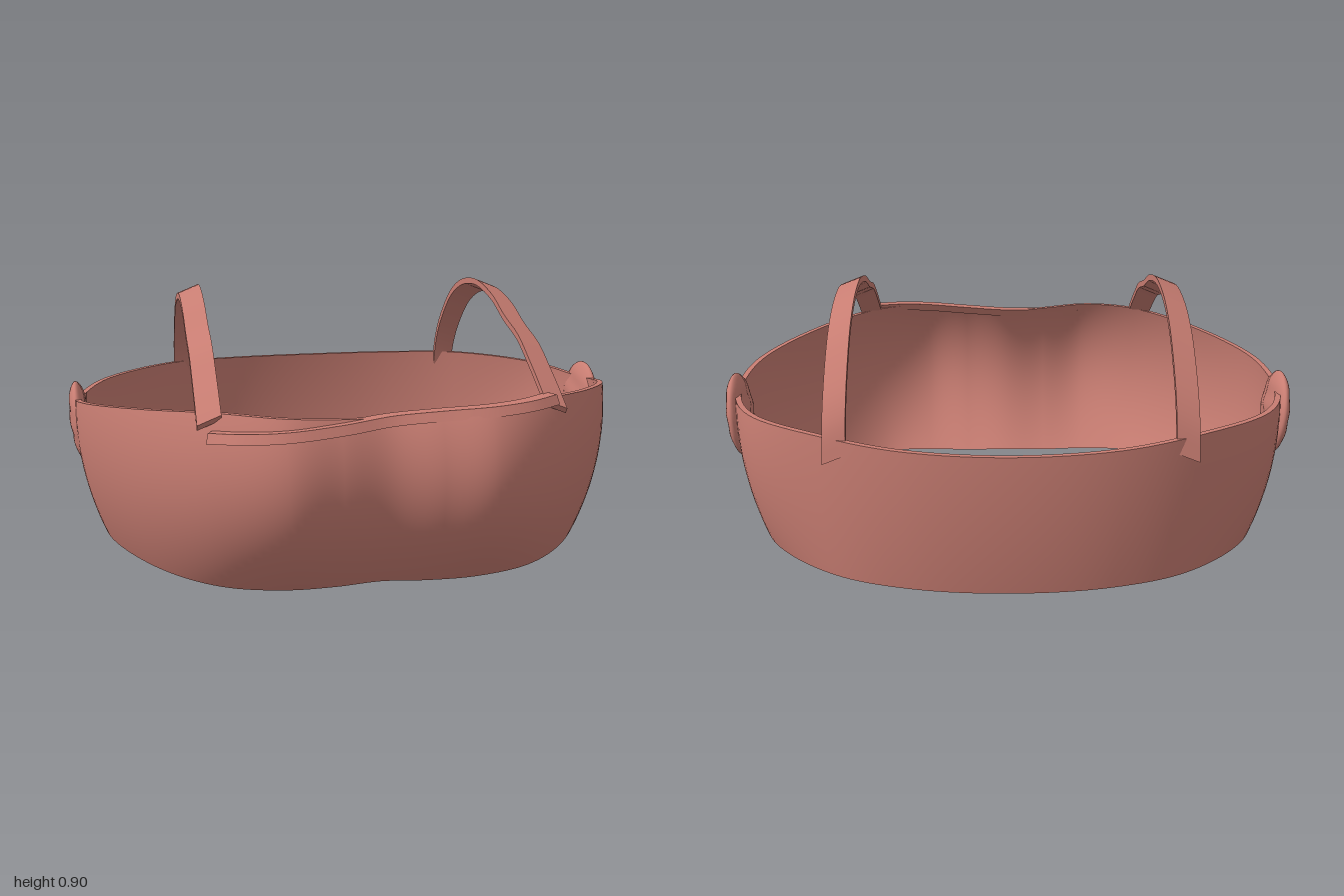
import * as THREE from 'three';
import { toCreasedNormals } from 'three/addons/utils/BufferGeometryUtils.js';
import { ParametricGeometry } from 'three/addons/geometries/ParametricGeometry.js';

const V = (x, y, z) => new THREE.Vector3(x, y, z);
const material = new THREE.MeshStandardMaterial({ color: 0xc87d72 });

function add(parent, name, geometry) {
  const mesh = new THREE.Mesh(geometry, material);
  mesh.name = name;
  parent.add(mesh);
  return mesh;
}

// Closed symmetric outline from its half, listed from centre back to centre front
function outline(half) {
  const right = half.slice(1, -1).reverse().map(([x, y, z]) => [-x, y, z]);
  return new THREE.CatmullRomCurve3([...half, ...right].map((p) => V(...p)), true);
}

// Half outlines [x, y, z] of the lower edge, the fullest level and the upper edge
const lower = [[0, .05, -.80], [.32, .05, -.765], [.58, .05, -.66], [.81, .05, -.42], [.89, .05, -.13],
  [.865, .045, .12], [.70, .025, .41], [.52, .012, .56], [.33, .003, .606], [.16, 0, .603], [0, .005, .595]];
const fullXZ = [[0, -.81], [.34, -.77], [.61, -.655], [.87, -.43], [.962, -.13],
  [.94, .14], [.77, .46], [.54, .70], [.33, .805], [.16, .785], [0, .758]];
const upper = [[0, .51, -.80], [.34, .515, -.76], [.61, .525, -.645], [.87, .517, -.42], [.97, .51, -.13],
  [.94, .545, .14], [.755, .585, .44], [.54, .61, .64], [.34, .605, .735], [.16, .592, .725], [0, .585, .70]];
const FULL = 0.6;
const full = fullXZ.map(([x, z], i) => [x, lower[i][1] + FULL * (upper[i][1] - lower[i][1]), z]);
const levels = [lower, full, upper].map(outline);

// Point on the outer wall: a parabola through the three levels
function outer(u, v) {
  const weights = [
    (v - FULL) * (v - 1) / FULL,
    v * (v - 1) / (FULL * (FULL - 1)),
    v * (v - FULL) / (1 - FULL),
  ];
  const p = V(0, 0, 0);
  levels.forEach((c, i) => p.addScaledVector(c.getPoint(((u % 1) + 1) % 1), weights[i]));
  return p;
}

// Matching point on the inner wall, one wall thickness inward
function inner(u, v) {
  const t = outer(u + .002, v).sub(outer(u - .002, v));
  return outer(u, v).add(V(-t.z, 0, t.x).normalize().multiplyScalar(.02));
}

function buildBand() {
  const band = new THREE.Group();
  band.name = 'headBand';
  const surface = (name, fn, rows) =>
    add(band, name, new ParametricGeometry((u, v, target) => target.copy(fn(u, v)), 160, rows));
  surface('outerWall', (u, v) => outer(1 - u, v), 24);
  surface('innerWall', (u, v) => inner(u, v), 24);
  surface('topRim', (u, v) => outer(1 - u, 1).lerp(inner(1 - u, 1), v), 1);
  surface('bottomRim', (u, v) => outer(u, 0).lerp(inner(u, 0), v), 1);
  return band;
}

// Arched strap: side profile of even thickness, extruded sideways and tilted
function strapGeometry() {
  const arch = new THREE.SplineCurve([[.66, .585], [.60, .625], [.5, .685], [.38, .75], [.23, .795], [.1, .845],
    [-.05, .875], [-.17, .876], [-.31, .85], [-.45, .785], [-.58, .67], [-.65, .57], [-.685, .46]]
    .map(([z, y]) => new THREE.Vector2(z, y)));
  const a = [], b = [];
  for (let i = 0; i <= 60; i++) {
    const p = arch.getPoint(i / 60), t = arch.getTangent(i / 60);
    const n = new THREE.Vector2(-t.y, t.x).multiplyScalar(.011);
    a.push(p.clone().add(n));
    b.unshift(p.clone().sub(n));
  }
  const g = new THREE.ExtrudeGeometry(new THREE.Shape([...a, ...b]), { depth: .075, bevelEnabled: false });
  g.rotateY(-Math.PI / 2).translate(.593, 0, 0);
  const pos = g.attributes.position;
  for (let i = 0; i < pos.count; i++) pos.setY(i, pos.getY(i) + (.555 - pos.getX(i)) * .4);
  return toCreasedNormals(g, .6);
}

// Narrow trim strip bent along the front edge, rising to the left
function trimGeometry() {
  const path = new THREE.CatmullRomCurve3([V(-.555, .545, .675), V(-.45, .551, .735), V(-.33, .558, .765),
    V(-.16, .567, .742), V(0, .578, .702), V(.16, .588, .708), V(.33, .598, .722), V(.45, .605, .70), V(.55, .611, .65)]);
  const g = new THREE.BoxGeometry(1, .03, .045, 60, 1, 1);
  const pos = g.attributes.position;
  for (let i = 0; i < pos.count; i++) {
    const u = THREE.MathUtils.clamp(pos.getX(i) + .5, 0, 1), y = pos.getY(i), depth = pos.getZ(i) - y * .5;
    const p = path.getPoint(u), t = path.getTangent(u);
    const n = V(-t.z, 0, t.x).normalize();
    pos.setXYZ(i, p.x + n.x * depth, p.y + y, p.z + n.z * depth);
  }
  g.computeVertexNormals();
  return toCreasedNormals(g, .6);
}

// Round side pad: a flattened ball with faint sideways creases
function padGeometry() {
  const g = new THREE.SphereGeometry(1, 40, 28);
  const pos = g.attributes.position;
  for (let i = 0; i < pos.count; i++) {
    const x = pos.getX(i), y = pos.getY(i), z = pos.getZ(i);
    const crease = 1 + .06 * Math.sin(y * 11 + z * 2);
    pos.setXYZ(i, x * .036 * crease, y * .148, z * .145);
  }
  g.computeVertexNormals();
  return g;
}

export function createModel() {
  const model = new THREE.Group();
  model.name = 'strappedHeadBand';
  model.add(buildBand());
  add(model, 'frontTrim', trimGeometry());

  const strap = strapGeometry(), pad = padGeometry();
  for (const [side, s] of [['left', 1], ['right', -1]]) {
    const half = new THREE.Group();
    half.name = side + 'Side';
    half.scale.x = s;
    add(half, side + 'Strap', strap);
    const p = add(half, side + 'Pad', pad);
    p.position.set(.961, .418, -.125);
    p.rotation.z = -.1;
    model.add(half);
  }
  return model;
}
